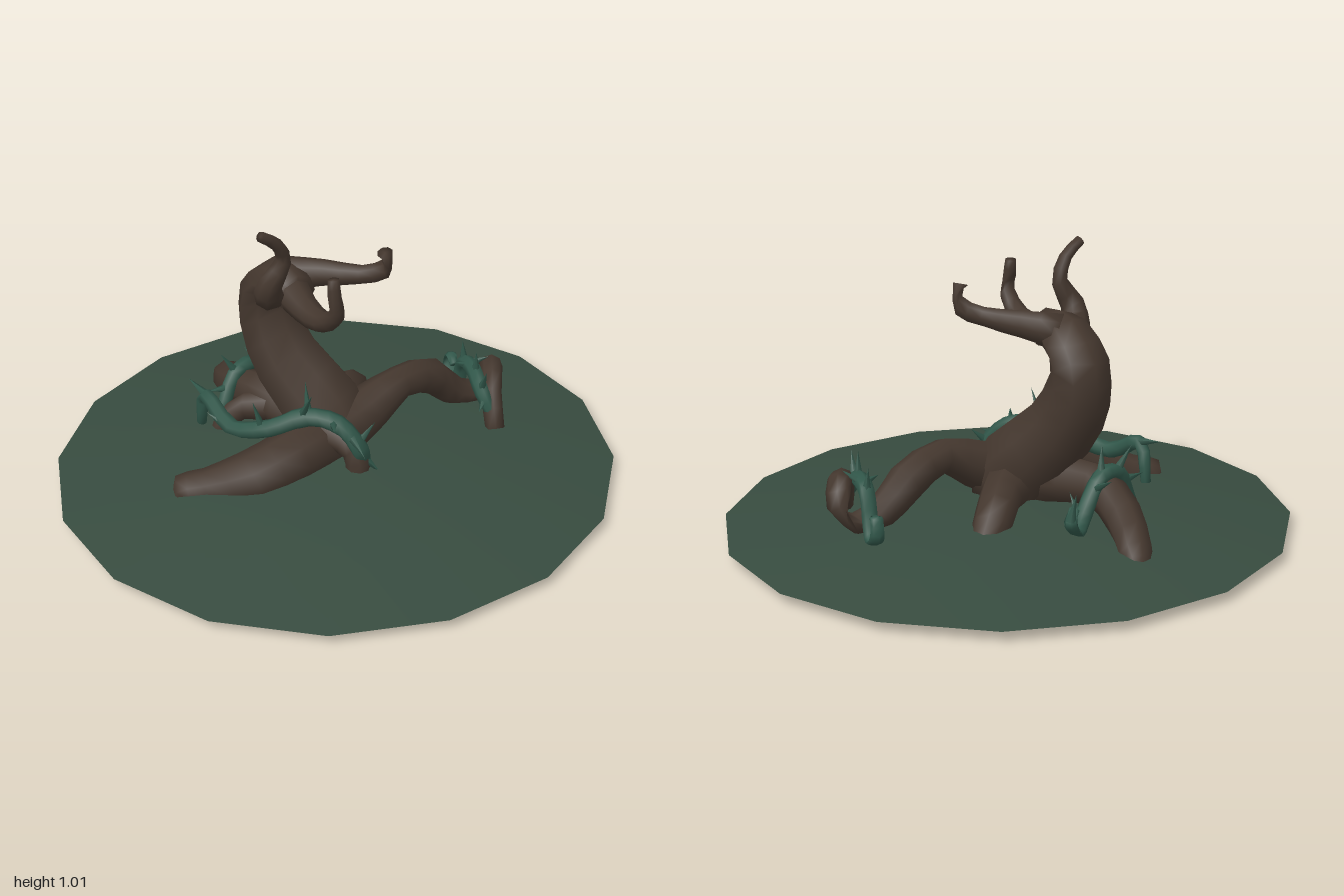
import * as THREE from 'three';
import { mergeVertices } from 'three/addons/utils/BufferGeometryUtils.js';

const V = (p) => new THREE.Vector3(p[0], p[1], p[2]);

// Tapered, capped tube; each point is [x, y, z, radius]
function limb(points, sides, perSpan = 2) {
  const curve = new THREE.CatmullRomCurve3(points.map(V), false, 'centripetal');
  const n = (points.length - 1) * perSpan + 2;
  const geo = new THREE.TubeGeometry(curve, n, 1, sides, false);
  const pos = geo.attributes.position, nor = geo.attributes.normal;
  const c = new THREE.Vector3();
  for (let i = 0; i <= n; i++) {
    const t = THREE.MathUtils.clamp((i - 1) / (n - 2), 0, 1);
    const k = Math.min(Math.floor(t * (points.length - 1)), points.length - 2);
    const f = t * (points.length - 1) - k;
    const end = i === 0 || i === n;
    const r = end ? 0 : THREE.MathUtils.lerp(points[k][3], points[k + 1][3], f);
    curve.getPoint(t, c);
    for (let j = 0; j <= sides; j++) {
      const q = i * (sides + 1) + j;
      pos.setXYZ(q, c.x + nor.getX(q) * r, c.y + nor.getY(q) * r, c.z + nor.getZ(q) * r);
    }
  }
  geo.deleteAttribute('uv');
  geo.deleteAttribute('normal');
  const merged = mergeVertices(geo, 1e-5);
  merged.computeVertexNormals();
  return merged;
}

export function createModel() {
  const model = new THREE.Group();
  const bark = new THREE.MeshStandardMaterial({ color: 0x44372e });
  bark.name = 'bark brown';
  const moss = new THREE.MeshStandardMaterial({ color: 0x374b3f, side: THREE.DoubleSide });
  moss.name = 'moss green';
  const vineGreen = new THREE.MeshStandardMaterial({ color: 0x31574a });
  vineGreen.name = 'vine green';

  const add = (name, geo, mat, parent = model) => {
    const mesh = new THREE.Mesh(geo, mat);
    mesh.name = name;
    parent.add(mesh);
    return mesh;
  };

  // Low open mound
  const profile = [[1, 0.05], [0.62, 0.112], [0.3, 0.143], [0, 0.155]];
  const mound = add('mound', new THREE.LatheGeometry(
    profile.map(([r, y]) => new THREE.Vector2(r, y)), 16, THREE.MathUtils.degToRad(14.9)), moss);
  mound.scale.set(1.01, 1, 0.975);

  // Trunk, branches and roots
  const wood = {
    trunk: [[0, 0.13, 0.02, 0.14], [-0.02, 0.24, -0.04, 0.15], [-0.1, 0.4, -0.18, 0.13],
      [-0.13, 0.56, -0.26, 0.115], [-0.125, 0.68, -0.245, 0.11], [-0.12, 0.735, -0.16, 0.09],
      [-0.12, 0.73, -0.06, 0.07]],
    leftwardTallBranch: [[-0.14, 0.73, -0.16, 0.06], [-0.21, 0.735, -0.09, 0.055],
      [-0.225, 0.8, -0.05, 0.042], [-0.18, 0.88, -0.04, 0.028], [-0.215, 0.96, -0.02, 0.022],
      [-0.28, 1.01, -0.01, 0.018]],
    frontBranch: [[-0.12, 0.73, -0.12, 0.07], [-0.13, 0.71, 0.02, 0.05], [-0.13, 0.72, 0.14, 0.038],
      [-0.125, 0.79, 0.225, 0.03], [-0.13, 0.85, 0.22, 0.025], [-0.13, 0.915, 0.21, 0.02]],
    sideBranch: [[-0.1, 0.745, -0.18, 0.065], [0, 0.765, -0.09, 0.048], [0.09, 0.78, 0.01, 0.034],
      [0.155, 0.815, 0.07, 0.036], [0.14, 0.885, 0.085, 0.028]],
    longRoot: [[-0.05, 0.2, 0.05, 0.1], [-0.22, 0.19, 0.09, 0.1], [-0.38, 0.145, 0.08, 0.095],
      [-0.52, 0.11, 0.01, 0.065], [-0.61, 0.09, -0.03, 0.06], [-0.63, 0.025, -0.04, 0.025]],
    curledRoot: [[-0.02, 0.2, 0.04, 0.11], [0.12, 0.25, 0.03, 0.085], [0.25, 0.305, 0.02, 0.06],
      [0.42, 0.25, -0.03, 0.068], [0.52, 0.155, -0.03, 0.055], [0.62, 0.14, -0.02, 0.05],
      [0.655, 0.22, -0.005, 0.048], [0.625, 0.275, 0.05, 0.042], [0.575, 0.22, 0.13, 0.038],
      [0.55, 0.11, 0.2, 0.035]],
    frontRoot: [[-0.1, 0.22, 0.02, 0.09], [-0.07, 0.245, 0.12, 0.06], [-0.035, 0.21, 0.19, 0.048],
      [-0.03, 0.12, 0.21, 0.042], [-0.03, 0.035, 0.2, 0.035]],
    rearSideRoot: [[0, 0.18, -0.04, 0.1], [0.12, 0.19, -0.16, 0.075], [0.22, 0.13, -0.27, 0.068],
      [0.29, 0.03, -0.3, 0.035]],
    backRoot: [[-0.06, 0.2, -0.08, 0.1], [-0.17, 0.225, -0.3, 0.075], [-0.17, 0.165, -0.48, 0.068],
      [-0.12, 0.095, -0.63, 0.06], [-0.1, 0.05, -0.69, 0.03]],
    smallBackRoot: [[-0.08, 0.22, -0.13, 0.07], [-0.23, 0.2, -0.26, 0.05], [-0.31, 0.13, -0.285, 0.042],
      [-0.34, 0.04, -0.29, 0.03]],
  };
  for (const [name, pts] of Object.entries(wood)) add(name, limb(pts, 8), bark);

  // Thorny vines: path and [span position 0-1, tip x, y, z] for each thorn
  const vines = {
    frontVine: {
      path: [[-0.4, 0.18, -0.27, 0.018], [-0.4, 0.315, -0.23, 0.026], [-0.37, 0.25, -0.09, 0.03],
        [-0.28, 0.285, 0.03, 0.032], [-0.17, 0.33, 0.09, 0.036], [-0.08, 0.31, 0.17, 0.036],
        [-0.03, 0.22, 0.225, 0.034], [0, 0.15, 0.2, 0.024]],
      thorns: [[0.15, -0.42, 0.34, -0.32], [0.28, -0.43, 0.29, -0.16], [0.4, -0.33, 0.39, 0],
        [0.55, -0.18, 0.45, 0.15], [0.58, -0.14, 0.43, 0.03], [0.68, -0.15, 0.35, 0.25],
        [0.76, -0.07, 0.26, 0.32], [0.82, 0.035, 0.31, 0.21], [0.92, 0.03, 0.13, 0.26]],
    },
    backVine: {
      path: [[-0.3, 0.15, -0.32, 0.024], [-0.22, 0.28, -0.36, 0.028], [-0.13, 0.285, -0.39, 0.03],
        [-0.05, 0.18, -0.42, 0.03], [0.01, 0.14, -0.47, 0.027], [0.045, 0.19, -0.49, 0.024],
        [0.02, 0.225, -0.47, 0.018]],
      thorns: [[0.1, -0.34, 0.25, -0.34], [0.18, -0.27, 0.37, -0.37], [0.32, -0.15, 0.39, -0.37],
        [0.4, -0.12, 0.3, -0.48], [0.85, 0.03, 0.29, -0.5], [0.55, -0.03, 0.24, -0.36]],
    },
    sideVine: {
      path: [[0.56, 0.13, 0.19, 0.02], [0.535, 0.23, 0.13, 0.028], [0.56, 0.27, 0.03, 0.03],
        [0.575, 0.25, -0.06, 0.028], [0.58, 0.15, -0.09, 0.028], [0.6, 0.115, -0.15, 0.027],
        [0.61, 0.155, -0.205, 0.025], [0.6, 0.21, -0.18, 0.022], [0.59, 0.19, -0.14, 0.016]],
      thorns: [[0.1, 0.49, 0.19, 0.18], [0.14, 0.53, 0.33, 0.16], [0.22, 0.55, 0.36, 0.06],
        [0.3, 0.62, 0.31, 0.04], [0.36, 0.57, 0.34, -0.06], [0.3, 0.51, 0.29, -0.01]],
    },
  };
  const up = new THREE.Vector3(0, 1, 0);
  for (const [name, { path, thorns }] of Object.entries(vines)) {
    const group = new THREE.Group();
    group.name = name;
    model.add(group);
    add('stem', limb(path, 7, 3), vineGreen, group);
    const curve = new THREE.CatmullRomCurve3(path.map(V), false, 'centripetal');
    for (const [t, x, y, z] of thorns) {
      const base = curve.getPoint(t);
      const dir = new THREE.Vector3(x, y, z).sub(base);
      const len = dir.length();
      const geo = new THREE.ConeGeometry(0.018, len, 5).translate(0, len / 2, 0);
      const thorn = add('thorn', geo, vineGreen, group);
      thorn.position.copy(base);
      thorn.quaternion.setFromUnitVectors(up, dir.normalize());
    }
  }
  return model;
}
